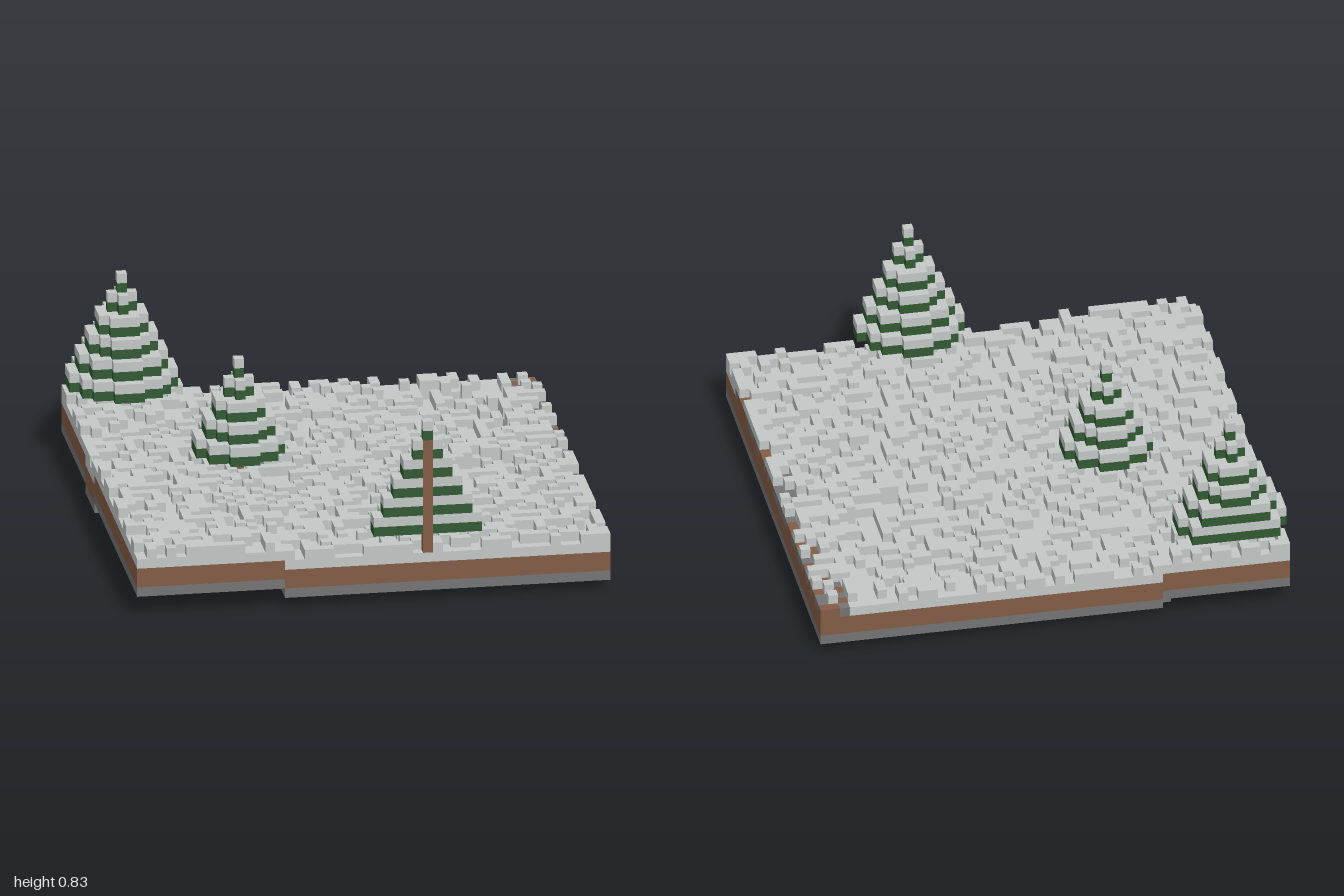
import * as THREE from 'three';

const N = 48;            // cells per side
const V = 2 / N;         // cell size

const mat = (name, color) => {
  const m = new THREE.MeshStandardMaterial({ color });
  m.name = name;
  return m;
};

// Small seeded generator for the loose snow and bare soil
function makeRandom(seed) {
  return () => {
    seed = (seed * 1664525 + 1013904223) >>> 0;
    return seed / 4294967296;
  };
}

// Piecewise linear curve through [z, x] points, -2 outside its range
function edgeAt(points, z) {
  for (let i = 1; i < points.length; i++) {
    const [z0, x0] = points[i - 1], [z1, x1] = points[i];
    if (z >= z0 && z <= z1) return x0 + (x1 - x0) * (z - z0) / (z1 - z0);
  }
  return -2;
}

// Edges of the two raised corners on the -x side
const backRise = [[-1, -0.46], [-0.67, -0.58], [-0.49, -0.85], [-0.37, -1]];
const frontRise = [[-0.13, -1], [0.1, -0.74], [0.36, -0.36], [0.59, -0.29], [0.75, -0.33], [1, -0.38]];
// Sunken hollows: centre x, centre z, radius x, radius z
const hollows = [[0.52, -0.54, 0.27, 0.37], [0.64, 0.085, 0.14, 0.165]];

// Level of the lowest cell in a column
function levelAt(i, k) {
  const x = (i + 0.5) * V - 1, z = (k + 0.5) * V - 1;
  if (x < edgeAt(backRise, z) || x < edgeAt(frontRise, z)) return 2;
  if (hollows.some(([cx, cz, rx, rz]) => ((x - cx) / rx) ** 2 + ((z - cz) / rz) ** 2 < 1)) return 0;
  return 1;
}

// Width in cells of the bare strip along the +x edge
function bareWidth(k) {
  const z = (k + 0.5) * V - 1;
  if (z > 0.79) return 0;
  return z > 0.07 ? 1 : z > -0.72 ? 2 : 3;
}

// Cell faces: outward axis n, with u x v = n
const FACES = [
  [[1, 0, 0], [0, 1, 0], [0, 0, 1]], [[-1, 0, 0], [0, 0, 1], [0, 1, 0]],
  [[0, 1, 0], [0, 0, 1], [1, 0, 0]], [[0, -1, 0], [1, 0, 0], [0, 0, 1]],
  [[0, 0, 1], [1, 0, 0], [0, 1, 0]], [[0, 0, -1], [0, 1, 0], [1, 0, 0]],
];
const CORNERS = [[-1, -1], [1, -1], [1, 1], [-1, -1], [1, 1], [-1, 1]];

// Surface of a list of cells, leaving out faces hidden by other cells
function cellGeometry(cells, solid) {
  const pos = [], nor = [];
  for (const [x, y, z] of cells) {
    for (const [n, u, v] of FACES) {
      if (solid.has(`${x + n[0]},${y + n[1]},${z + n[2]}`)) continue;
      for (const [a, b] of CORNERS) {
        const p = [x, y, z].map((c, i) => (c + 0.5 + (n[i] + a * u[i] + b * v[i]) / 2) * V);
        pos.push(p[0] - 1, p[1], p[2] - 1);
        nor.push(...n);
      }
    }
  }
  const g = new THREE.BufferGeometry();
  g.setAttribute('position', new THREE.Float32BufferAttribute(pos, 3));
  g.setAttribute('normal', new THREE.Float32BufferAttribute(nor, 3));
  return g;
}

export function createModel() {
  const model = new THREE.Group();
  model.name = 'snowyForestTile';
  const materials = {
    snow: mat('snow', 0xc3c8c7),
    soil: mat('soil', 0x835d45),
    stone: mat('stone', 0x747474),
    needles: mat('needles', 0x325a33),
  };
  const random = makeRandom(20317);
  const solid = new Set();
  const parts = new Map();
  const add = (group, name, material, x, y, z) => {
    const key = `${x},${y},${z}`;
    if (x < 0 || z < 0 || x >= N || z >= N || solid.has(key)) return;
    solid.add(key);
    const id = `${group}/${name}`;
    if (!parts.has(id)) parts.set(id, { group, name, material, cells: [] });
    parts.get(id).cells.push([x, y, z]);
  };

  // Fir trees: trunk column, then stacked discs of needles capped with snow
  const trees = [
    { name: 'backTree', x: 5, z: 3, radius: 5 },
    { name: 'middleTree', x: 14, z: 21, radius: 4 },
    { name: 'frontTree', x: 29, z: 47, radius: 5 },
  ];
  for (const { name, x, z, radius } of trees) {
    const base = name === 'backTree' ? 2 : levelAt(x, z);
    const layers = 2 * (radius + 1);
    for (let y = base + 4; y < base + 4 + layers; y++) add(name, 'trunk', 'soil', x, y, z);
    for (let i = 0; i < layers; i++) {
      const r = radius - Math.floor(i / 2);
      const [part, material] = i % 2 ? ['snowCaps', 'snow'] : ['branches', 'needles'];
      for (let dx = -r; dx <= r; dx++) {
        for (let dz = -r; dz <= r; dz++) {
          if (dx * dx + dz * dz <= (r + 0.3) ** 2) add(name, part, material, x + dx, base + 6 + i, z + dz);
        }
      }
    }
  }

  // Ground columns: stone, two of soil, snow cover and scattered loose snow
  for (let i = 0; i < N; i++) {
    for (let k = 0; k < N; k++) {
      const h = levelAt(i, k);
      add('ground', 'stoneBed', 'stone', i, h, k);
      add('ground', 'soilLayer', 'soil', i, h + 1, k);
      add('ground', 'soilLayer', 'soil', i, h + 2, k);
      if (i < N - bareWidth(k)) add('ground', 'snowCover', 'snow', i, h + 3, k);
      else if (random() < 0.5) add('ground', 'bareStone', 'stone', i, h + 3, k);
      else add('ground', 'bareSoil', 'soil', i, h + 3, k);
      if (random() < 0.5) add('ground', 'looseSnow', 'snow', i, h + 4, k);
    }
  }

  // One mesh per part, gathered into named groups
  const groups = {};
  for (const { group, name, material, cells } of parts.values()) {
    if (!groups[group]) {
      groups[group] = new THREE.Group();
      groups[group].name = group;
      model.add(groups[group]);
    }
    const mesh = new THREE.Mesh(cellGeometry(cells, solid), materials[material]);
    mesh.name = name;
    groups[group].add(mesh);
  }
  return model;
}
